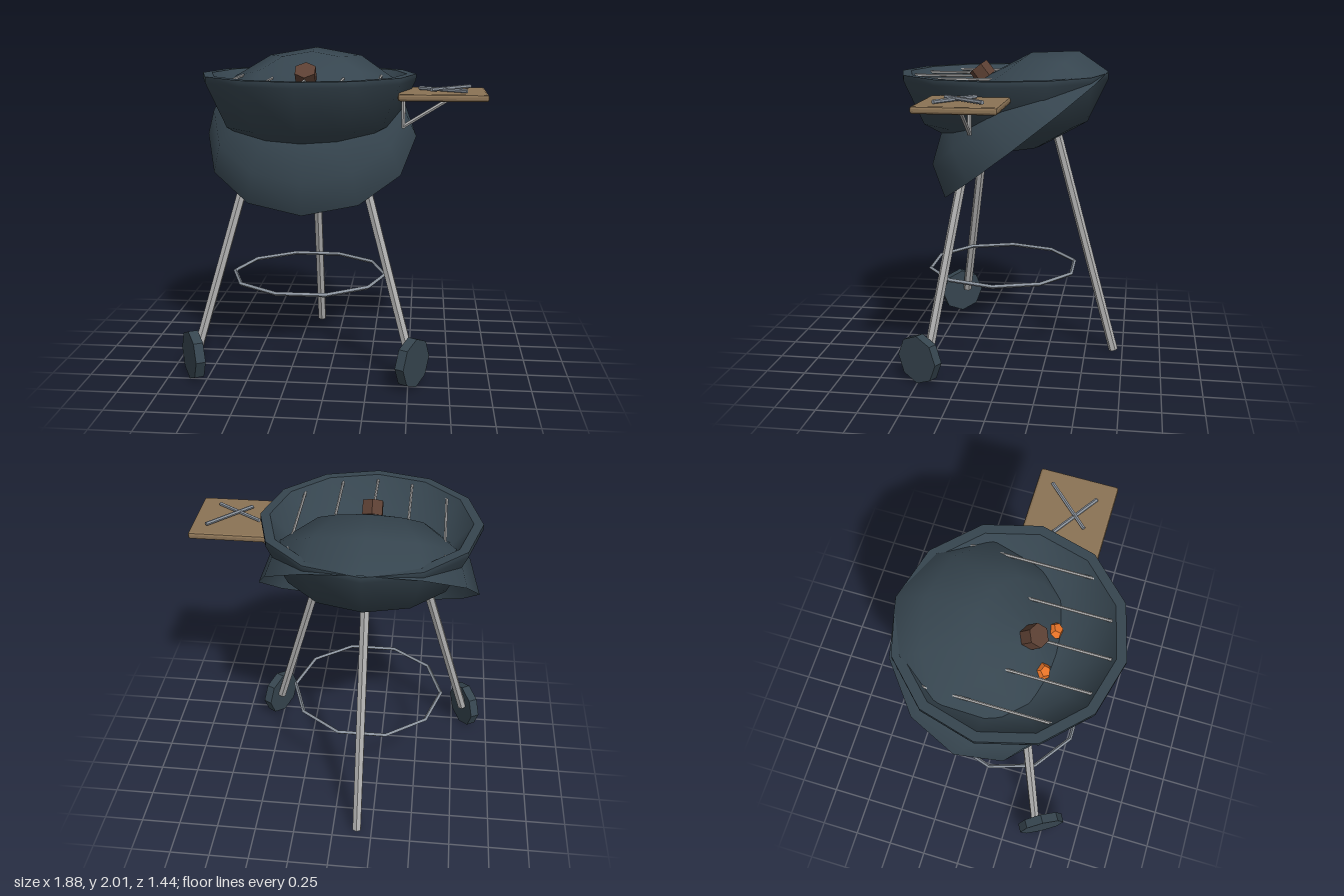
import * as THREE from 'three';
import { RoundedBoxGeometry } from 'three/addons/geometries/RoundedBoxGeometry.js';

const CX = -0.155, CZ = 0.055; // centre of the kettle

function material(name, color, flatShading = false, side = THREE.FrontSide) {
  const m = new THREE.MeshStandardMaterial({ color, flatShading, side });
  m.name = name;
  return m;
}

const vec = (x, y, z) => new THREE.Vector3(x, y, z);

export function createModel() {
  const model = new THREE.Group();
  model.name = 'kettleGrill';

  const enamel = material('charcoalEnamel', 0x36454f, false, THREE.DoubleSide);
  const rubber = material('wheelCharcoal', 0x36454f, true);
  const metal = material('brushedMetal', 0xb0b0b0, true);
  const steel = material('blueSteel', 0x8a929c, true);
  const wood = material('tableWood', 0x8b7355, true);
  const darkWood = material('handleWood', 0x5c4033, true);
  const ember = material('ember', 0xf47a2a, true);

  const add = (name, geometry, mat, pos = [0, 0, 0], parent = model) => {
    const mesh = new THREE.Mesh(geometry, mat);
    mesh.name = name;
    mesh.position.set(...pos);
    parent.add(mesh);
    return mesh;
  };

  // Straight rod between two points
  const rod = (name, a, b, radius, mat, sides = 6, parent = model) => {
    const dir = b.clone().sub(a);
    const mesh = add(name, new THREE.CylinderGeometry(radius, radius, dir.length(), sides), mat, [0, 0, 0], parent);
    mesh.position.copy(a).add(b).multiplyScalar(0.5);
    mesh.quaternion.setFromUnitVectors(vec(0, 1, 0), dir.normalize());
    return mesh;
  };

  const lathe = (points) =>
    new THREE.LatheGeometry(points.map(([r, y]) => new THREE.Vector2(r, y)), 12);

  // Bowl: outer wall, flat rim, inner wall and coal bed (doubled points keep creases)
  add('bowl', lathe([
    [0, 1.385], [0.255, 1.4], [0.54, 1.56], [0.668, 1.835], [0.668, 1.87], [0.668, 1.87],
    [0.61, 1.87], [0.61, 1.87], [0.47, 1.7], [0.3, 1.68], [0, 1.68],
  ]), enamel, [CX, 0, CZ]);

  // Lid: open dome hung at a tilt behind the bowl
  const lid = new THREE.Group();
  lid.name = 'lid';
  lid.position.set(CX, 1.465, -0.078);
  lid.rotation.x = 0.662;
  model.add(lid);
  add('lidDome', lathe([[0.675, 0], [0.605, 0.215], [0.36, 0.39], [0, 0.455]]), enamel, [0, 0, 0], lid);
  add('lidHandle', new THREE.CylinderGeometry(0.07, 0.07, 0.09, 6), darkWood, [0, 0.485, -0.03], lid);

  // Cooking grate
  const grate = new THREE.Group();
  grate.name = 'grate';
  grate.position.set(CX, 1.84, CZ);
  model.add(grate);
  const hoop = new THREE.TorusGeometry(0.6, 0.008, 4, 12).rotateX(Math.PI / 2);
  add('grateRing', hoop, metal, [0, 0, 0], grate);
  for (const x of [-0.445, -0.222, 0, 0.222, 0.445]) {
    const half = Math.sqrt(0.585 ** 2 - x * x);
    rod('grateBar', vec(x, 0, -half), vec(x, 0, half), 0.009, metal, 6, grate);
  }

  // Glowing coals
  for (const s of [-1, 1]) {
    const coal = add('coal', new THREE.DodecahedronGeometry(0.052), ember, [CX + s * 0.127, 1.705, 0.285]);
    coal.rotation.y = s * 0.4;
  }

  // Legs splayed at thirds of a circle; the front two carry wheels
  const radial = (angle, r, y) => vec(CX + r * Math.sin(angle), y, CZ + r * Math.cos(angle));
  rod('rearLeg', radial(Math.PI, 0.34, 1.5), radial(Math.PI, 0.745, 0.008), 0.03, metal);
  for (const s of [-1, 1]) {
    const a = s * Math.PI / 3;
    rod('frontLeg', radial(a, 0.355, 1.46), radial(a, 0.765, 0.17), 0.03, metal);
    const wheel = new THREE.CylinderGeometry(0.155, 0.155, 0.06, 8).rotateX(Math.PI / 2);
    const p = radial(s * 1.005, 0.805, 0.155);
    add('wheel', wheel, rubber, p.toArray()).rotation.y = a;
  }

  // Bracing hoop between the legs
  const brace = new THREE.TorusGeometry(0.49, 0.013, 4, 10).rotateX(Math.PI / 2);
  add('legRing', brace, steel, [CX, 0.58, 0.06]);

  // Side table with bracket and crossed utensils
  add('sideTable', new RoundedBoxGeometry(0.53, 0.042, 0.48, 1, 0.014), wood, [0.675, 1.758, 0.17]);
  rod('bracketPost', vec(0.44, 1.55, 0.175), vec(0.44, 1.74, 0.175), 0.013, metal);
  rod('bracketBrace', vec(0.44, 1.56, 0.175), vec(0.73, 1.74, 0.175), 0.013, metal);
  rod('utensil', vec(0.535, 1.79, 0.115), vec(0.815, 1.79, 0.305), 0.012, steel);
  rod('utensil', vec(0.605, 1.795, 0.28), vec(0.845, 1.795, 0.025), 0.012, steel);

  return model;
}
